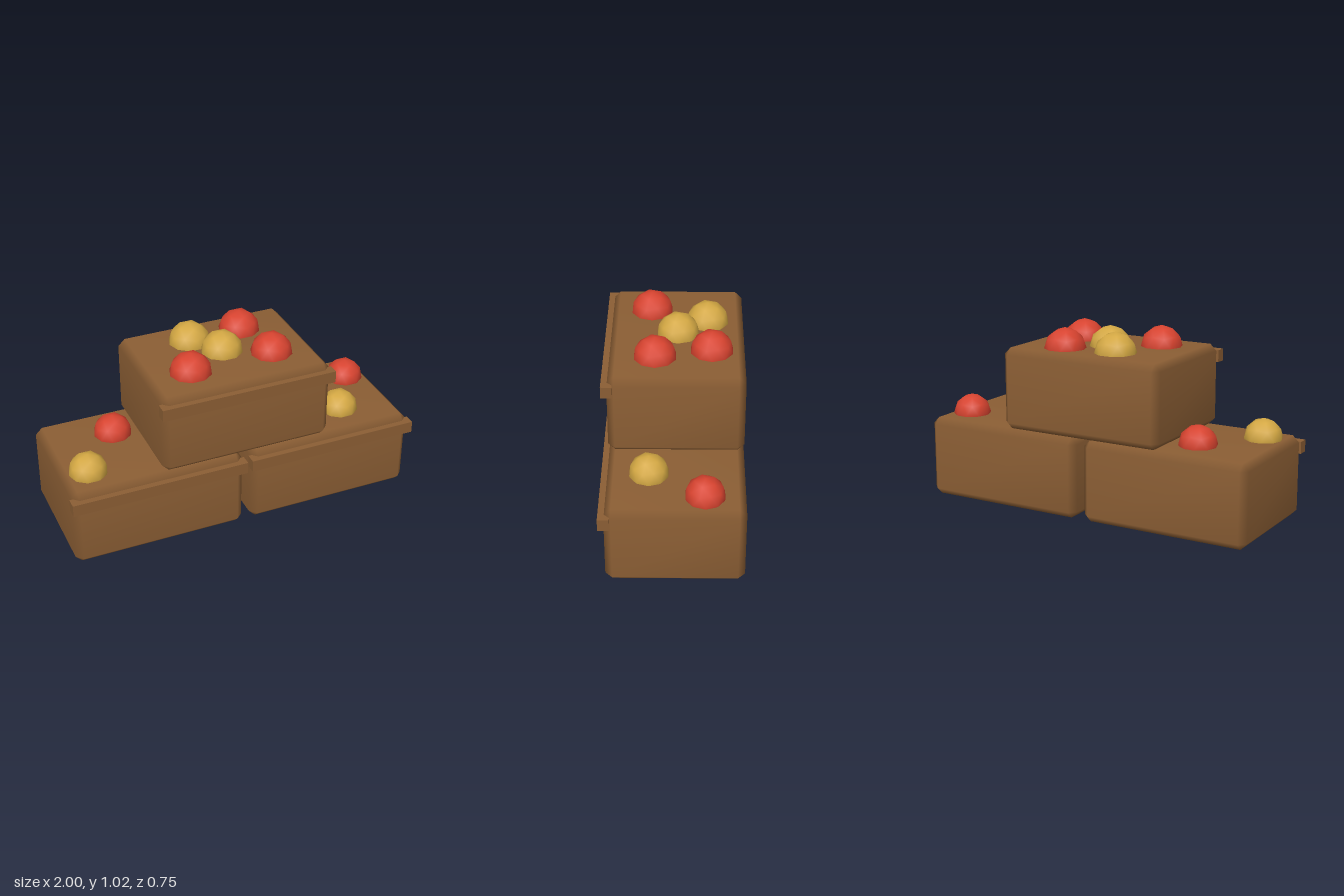
import * as THREE from 'three';
import { ConvexGeometry } from 'three/addons/geometries/ConvexGeometry.js';
import { mergeVertices } from 'three/addons/utils/BufferGeometryUtils.js';

const mat = (name, color) => Object.assign(new THREE.MeshStandardMaterial({ color }), { name });

// Shared vertices give smooth normals across the faces
function smooth(geometry) {
  geometry.deleteAttribute('normal');
  geometry.deleteAttribute('uv');
  const merged = mergeVertices(geometry, 1e-4);
  merged.computeVertexNormals();
  return merged;
}

// Box with a single chamfer on every edge
function chamferBox(w, h, d, c) {
  const points = [];
  for (const sx of [-1, 1]) for (const sy of [-1, 1]) for (const sz of [-1, 1]) {
    for (let axis = 0; axis < 3; axis++) {
      const inset = [c, c, c];
      inset[axis] = 0;
      points.push(new THREE.Vector3(
        sx * (w / 2 - inset[0]), sy * (h / 2 - inset[1]), sz * (d / 2 - inset[2])));
    }
  }
  return smooth(new ConvexGeometry(points));
}

export function createModel() {
  const model = new THREE.Group();
  model.name = 'fruitCrates';
  const wood = mat('brown wood', 0x8b5e34);
  const red = mat('red fruit', 0xd8432f);
  const yellow = mat('yellow fruit', 0xd4a843);

  const H = 0.455;
  const crateGeo = chamferBox(0.966, H, 0.722, 0.037);
  const lipGeo = new THREE.BoxGeometry(0.986, 0.067, 0.06);
  // Low-poly ball with a vertex straight up
  const fruitGeo = smooth(new THREE.IcosahedronGeometry(1, 1));
  fruitGeo.rotateX(-Math.atan2((1 + Math.sqrt(5)) / 2, 1));

  // Crate position, fruit size, and fruits as [x, z, material]
  const crates = [
    { name: 'rightCrate', x: -0.507, y: 0, r: 0.106,
      fruits: [[-0.845, 0.16, yellow], [-0.605, -0.14, red]] },
    { name: 'leftCrate', x: 0.507, y: 0, r: 0.106,
      fruits: [[0.66, 0.125, yellow], [0.845, -0.165, red]] },
    { name: 'topCrate', x: 0, y: H, r: 0.116,
      fruits: [[-0.125, -0.18, yellow], [0, -0.02, yellow], [0.18, -0.2, red],
        [-0.24, 0.125, red], [0.24, 0.1, red]] },
  ];

  for (const { name, x, y, r, fruits } of crates) {
    const group = new THREE.Group();
    group.name = name;
    const add = (part, geo, material, px, py, pz) => {
      const mesh = new THREE.Mesh(geo, material);
      mesh.name = part;
      mesh.position.set(px, py, pz);
      group.add(mesh);
      return mesh;
    };
    add('crateBody', crateGeo, wood, x, y + H / 2, -0.014);
    add('frontLip', lipGeo, wood, x, y + 0.388, 0.346);
    // Fruits half sunk into the crate, all reaching the same height
    for (const [fx, fz, material] of fruits) {
      add('fruit', fruitGeo, material, fx, y + H + 0.115 - r, fz).scale.setScalar(r);
    }
    model.add(group);
  }
  return model;
}
